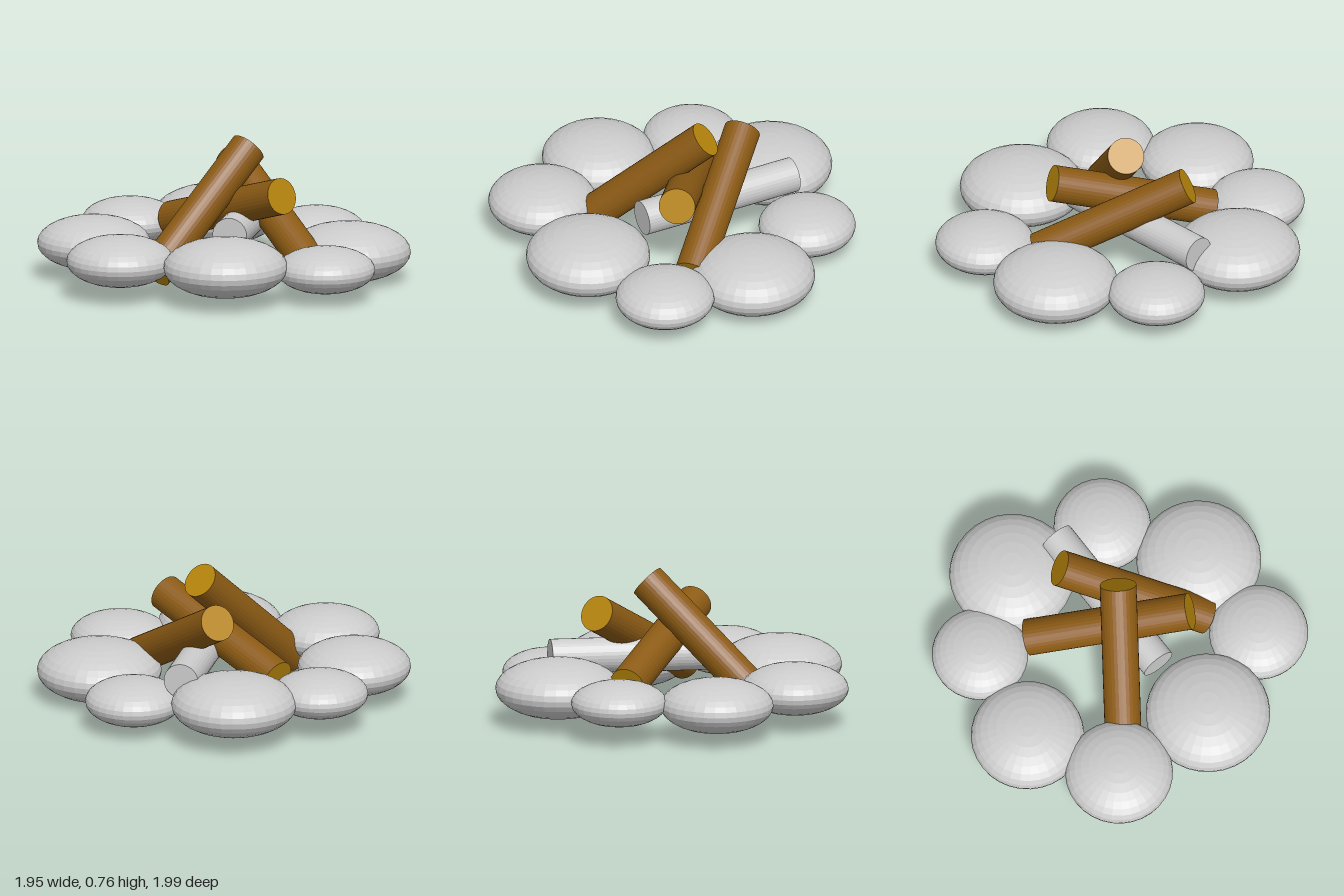
import * as THREE from 'three';

const stoneMat = new THREE.MeshStandardMaterial({ color: 0xcccccc, flatShading: true });
const barkMat = new THREE.MeshStandardMaterial({ color: 0x8b5a14, flatShading: true });
const cutMat = new THREE.MeshStandardMaterial({ color: 0xb8860b, flatShading: true });

// Flattened round stone: centre, horizontal radius, half height
function stone(x, y, z, r, h) {
  const mesh = new THREE.Mesh(new THREE.SphereGeometry(1, 32, 16), stoneMat);
  mesh.scale.set(r, h, r);
  mesh.position.set(x, y, z);
  return mesh;
}

// Straight log between the centres of its two cut ends
function log(name, from, to, radius, side, cut) {
  const a = new THREE.Vector3(...from), b = new THREE.Vector3(...to);
  const dir = b.clone().sub(a);
  const geo = new THREE.CylinderGeometry(radius, radius, dir.length(), 32);
  const mesh = new THREE.Mesh(geo, [side, cut, cut]);
  mesh.position.copy(a).add(b).multiplyScalar(0.5);
  mesh.quaternion.setFromUnitVectors(new THREE.Vector3(0, 1, 0), dir.normalize());
  mesh.name = name;
  return mesh;
}

export function createModel() {
  const group = new THREE.Group();
  group.name = 'campfire';

  // Ring of stones
  const ring = new THREE.Group();
  ring.name = 'stoneRing';
  [
    [0.01, 0.205, -0.745, 0.255, 0.117],
    [0.452, 0.202, -0.55, 0.332, 0.153],
    [0.715, 0.16, -0.058, 0.257, 0.12],
    [0.49, 0.155, 0.44, 0.33, 0.153],
    [0.06, 0.17, 0.732, 0.262, 0.12],
    [-0.388, 0.202, 0.438, 0.329, 0.153],
    [-0.695, 0.203, -0.05, 0.285, 0.132],
    [-0.455, 0.19, -0.52, 0.3, 0.139],
  ].forEach((s, i) => {
    const mesh = stone(...s);
    mesh.name = `stone${i + 1}`;
    ring.add(mesh);
  });
  group.add(ring);

  // Stacked logs
  group.add(
    log('leaningLog', [-0.487, 0.11, -0.015], [0.18, 0.692, -0.005], 0.097, barkMat, cutMat),
    log('frontLog', [0.077, 0.24, -0.49], [0.077, 0.505, 0.37], 0.097, barkMat, cutMat),
    log('sideLog', [0.174, 0.155, 0.465], [0.338, 0.565, -0.305], 0.097, barkMat, cutMat),
    log('greyLog', [-0.132, 0.295, 0.19], [0.607, 0.305, -0.307], 0.093, stoneMat, stoneMat),
  );
  return group;
}
